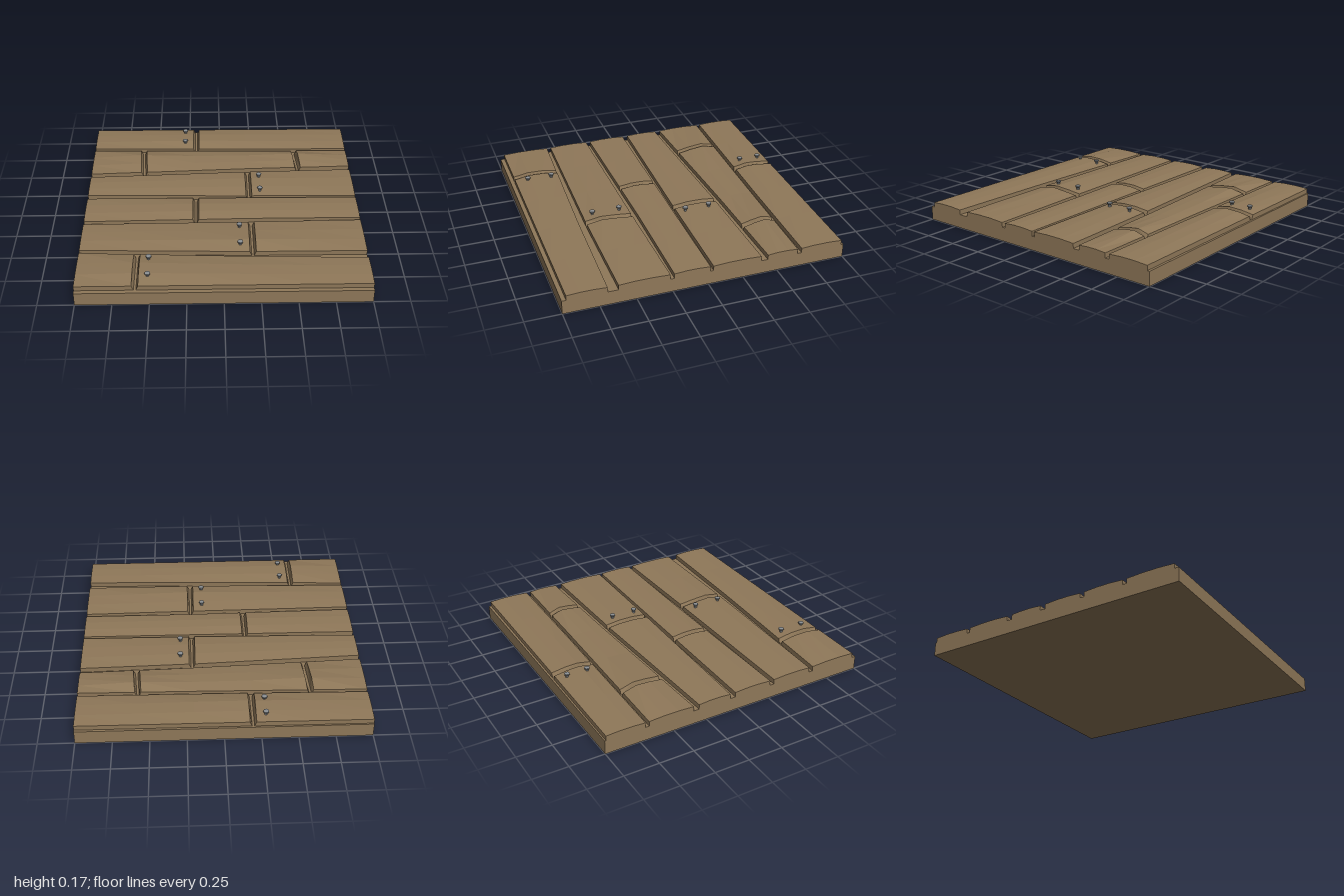
import * as THREE from 'three';

const SLAB_TOP = 0.1, EDGE_TOP = 0.135, BOARD_TOP = 0.141;

// back, front: z of the row's edges at x = -1, 0.2 and 1
// joints: x of the end joints; peaks: top height at a joint, 1/3 and 2/3 across
const ROWS = [
  { back: [-0.99, -0.985, -0.982], front: [-0.708, -0.687, -0.68], joints: [-0.192], peaks: [0.15, 0.154], skew: 0 },
  { back: [-0.682, -0.66, -0.65], front: [-0.35, -0.405, -0.43], joints: [-0.6, 0.592], peaks: [0.16, 0.151], skew: 0.008 },
  { back: [-0.308, -0.362, -0.382], front: [-0.065, -0.042, -0.035], joints: [0.205], peaks: [0.147, 0.147], skew: 0 },
  { back: [-0.024, -0.018, -0.014], front: [0.258, 0.239, 0.24], joints: [-0.192], peaks: [0.147, 0.147], skew: 0 },
  { back: [0.29, 0.28, 0.268], front: [0.588, 0.62, 0.622], joints: [0.207], peaks: [0.147, 0.155], skew: 0 },
  { back: [0.618, 0.672, 0.695], front: [0.97, 0.97, 0.97], joints: [-0.595], peaks: [0.152, 0.154], skew: 0 },
];

// Nail pairs: x, back z, front z
const NAIL_PAIRS = [[-0.28, -0.92, -0.77], [0.288, -0.28, -0.1], [0.12, 0.35, 0.55], [-0.512, 0.7, 0.88]];

const { lerp } = THREE.MathUtils;
const edgeZ = ([a, b, c], x) => (x < 0.2 ? lerp(a, b, (x + 1) / 1.2) : lerp(b, c, (x - 0.2) / 0.8));

// How far the board ends curl up: 1 at a joint, falling to 0 away from it
function curl(joints, x) {
  return Math.max(...joints.map(j => {
    const reach = Math.min(x < j ? j + 1 : 1 - j, 1.2 / joints.length);
    return Math.max(0, 1 - Math.abs(x - j) / reach);
  }));
}

// Cross-section from back bottom, over the top, to front bottom.
// side: +1 opens a board after a joint, -1 closes one before it, 0 is a square cut
function section(row, x, side) {
  const lift = curl(row.joints, x);
  const [p, q] = row.peaks.map(peak => lerp(BOARD_TOP, peak, lift));
  const heights = [SLAB_TOP, EDGE_TOP, p, q, EDGE_TOP, SLAB_TOP];
  return heights.map((y, j) => {
    const t = THREE.MathUtils.clamp((j - 1) / 3, 0, 1);
    const gap = y === SLAB_TOP ? 0.008 : 0.022;
    return [x + side * (gap + side * row.skew * (2 * t - 1)), y, lerp(edgeZ(row.back, x), edgeZ(row.front, x), t)];
  });
}

// Board lofted along x between two cuts
function boardGeometry(row, x0, x1) {
  const inner = [-0.6, -0.2, 0.2, 0.6].filter(x => x > x0 + 0.05 && x < x1 - 0.05);
  const rings = [
    section(row, x0, x0 > -1 ? 1 : 0),
    ...inner.map(x => section(row, x, 0)),
    section(row, x1, x1 < 1 ? -1 : 0),
  ];
  const pos = [];
  const tri = (a, b, c) => pos.push(...a, ...b, ...c);
  for (let i = 0; i < rings.length - 1; i++) {
    for (let j = 0; j < 5; j++) {
      const a = rings[i][j], b = rings[i][j + 1], c = rings[i + 1][j + 1], d = rings[i + 1][j];
      tri(a, b, c);
      tri(a, c, d);
    }
  }
  // End caps
  const first = rings[0], last = rings[rings.length - 1];
  for (let j = 1; j < 5; j++) {
    tri(first[0], first[j + 1], first[j]);
    tri(last[0], last[j], last[j + 1]);
  }
  const geo = new THREE.BufferGeometry();
  geo.setAttribute('position', new THREE.Float32BufferAttribute(pos, 3));
  geo.computeVertexNormals();
  return geo;
}

export function createModel() {
  const wood = new THREE.MeshStandardMaterial({ color: 0x8f7859, flatShading: true });
  wood.name = 'wood';
  const metal = new THREE.MeshStandardMaterial({ color: 0x8c9093, flatShading: true });
  metal.name = 'nail metal';

  const model = new THREE.Group();
  model.name = 'plankFloor';
  const add = (parent, geo, mat, name) => {
    const mesh = new THREE.Mesh(geo, mat);
    mesh.name = name;
    parent.add(mesh);
    return mesh;
  };

  // Solid slab under the boards
  add(model, new THREE.BoxGeometry(2, SLAB_TOP, 2), wood, 'baseSlab').position.y = SLAB_TOP / 2;

  // Rows of boards, cut at their joints
  ROWS.forEach((row, r) => {
    const group = new THREE.Group();
    group.name = `plankRow${r + 1}`;
    const cuts = [-1, ...row.joints, 1];
    for (let i = 0; i < cuts.length - 1; i++) {
      add(group, boardGeometry(row, cuts[i], cuts[i + 1]), wood, `plank${i + 1}`);
    }
    model.add(group);
  });

  // Raised nails: shank, flared neck and flat head
  const profile = [[0.011, 0.13], [0.011, 0.156], [0.02, 0.165], [0.02, 0.173], [0, 0.175]];
  const nailGeo = new THREE.LatheGeometry(profile.map(p => new THREE.Vector2(...p)), 8);
  NAIL_PAIRS.forEach(([x, ...zs]) => {
    zs.forEach(z => add(model, nailGeo, metal, 'nail').position.set(x, 0, z));
  });
  return model;
}
